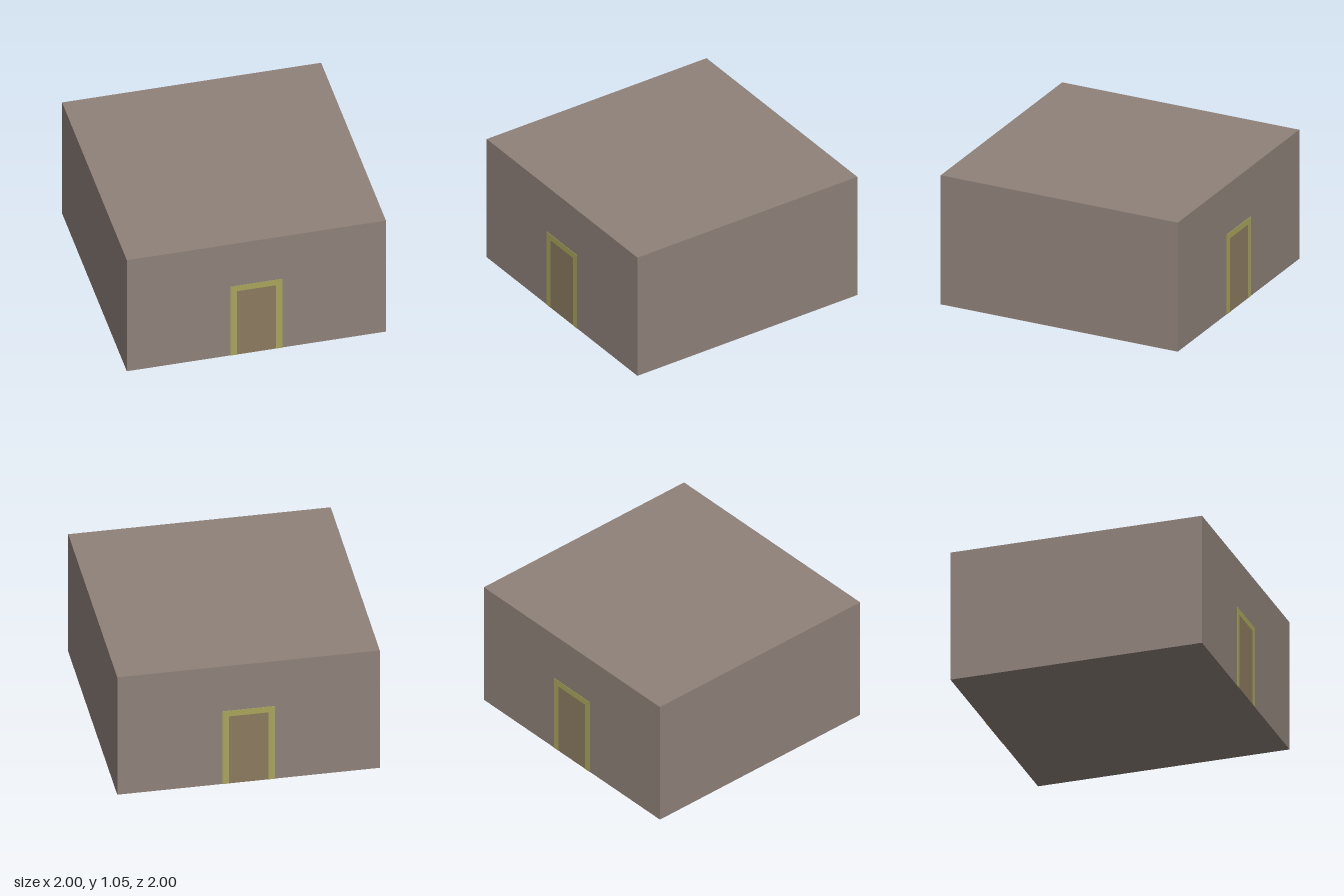
import * as THREE from 'three';

const WALL = new THREE.MeshStandardMaterial({ color: 0x8e8179 });
const FRAME = new THREE.MeshStandardMaterial({ color: 0xa8a45a });
const DOOR = new THREE.MeshStandardMaterial({ color: 0x8b7a60 });

const H = 1.05; // building height
const FACE = 0.997; // front and back wall planes

function box(name, w, h, d, x, y, z, material) {
  const mesh = new THREE.Mesh(new THREE.BoxGeometry(w, h, d), material);
  mesh.name = name;
  mesh.position.set(x, y, z);
  return mesh;
}

// Door panel with a flat surround, standing barely proud of the wall
function createDoorway() {
  const doorway = new THREE.Group();
  const s = new THREE.Shape();
  s.moveTo(-0.2, 0);
  s.lineTo(-0.2, 0.65);
  s.lineTo(0.2, 0.65);
  s.lineTo(0.2, 0);
  s.lineTo(0.15, 0);
  s.lineTo(0.15, 0.6);
  s.lineTo(-0.15, 0.6);
  s.lineTo(-0.15, 0);
  s.closePath();
  const frame = new THREE.Mesh(
    new THREE.ExtrudeGeometry(s, { depth: 0.013, bevelEnabled: false }), FRAME);
  frame.name = 'doorFrame';
  frame.position.z = 0.987;
  doorway.add(frame, box('doorPanel', 0.3, 0.6, 0.012, 0, 0.3, 0.9925, DOOR));
  return doorway;
}

export function createModel() {
  const model = new THREE.Group();
  model.name = 'building';

  // Main block with thin panels closing its two sides
  model.add(box('mainBlock', 1.97, H, 2 * FACE, 0, H / 2, 0, WALL));
  for (const side of [-1, 1]) {
    const name = side > 0 ? 'leftWall' : 'rightWall';
    model.add(box(name, 0.015, H, 2 * FACE, side * 0.9925, H / 2, 0, WALL));
  }

  // Matching doorways front and back
  const front = createDoorway();
  front.name = 'frontDoorway';
  const back = createDoorway();
  back.name = 'backDoorway';
  back.rotation.y = Math.PI;
  model.add(front, back);
  return model;
}
